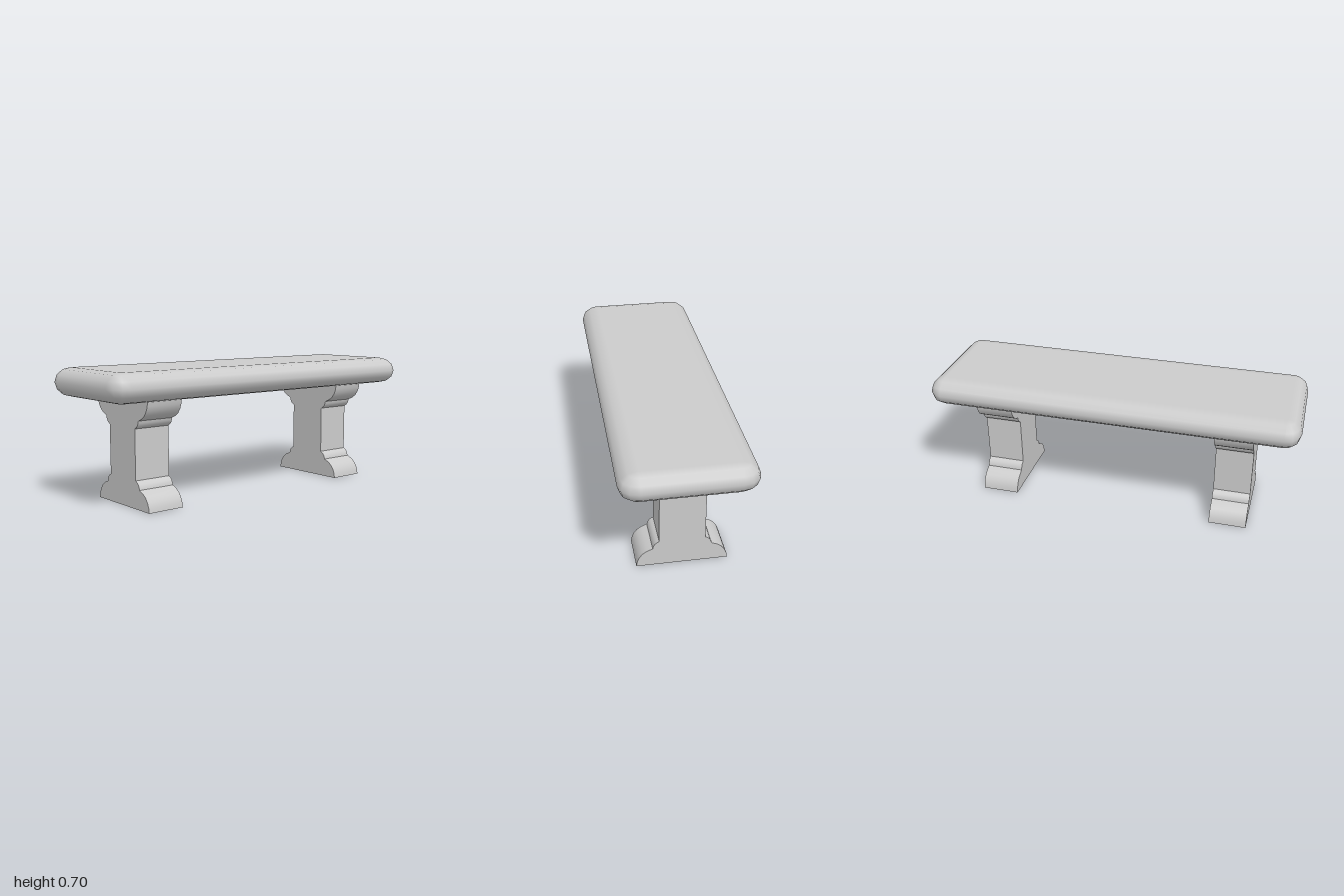
import * as THREE from 'three';
import { toCreasedNormals } from 'three/addons/utils/BufferGeometryUtils.js';

const material = new THREE.MeshStandardMaterial({ color: 0xcccccc });

// Slab with rounded rim: a sphere whose four quadrants are pulled apart to the corners
function slabGeometry(halfX, halfZ, rx, ry, rz) {
  const rows = 8, cols = 16;
  const geo = new THREE.SphereGeometry(1, cols, rows);
  const pos = geo.attributes.position, nor = geo.attributes.normal;
  const n = new THREE.Vector3();
  for (let row = 0; row <= rows; row++) {
    const pole = row === 0 || row === rows;
    const lat = THREE.MathUtils.clamp(4 - row, -3, 3) * Math.PI / 6;
    for (let col = 0; col <= cols; col++) {
      const i = row * (cols + 1) + col, c = col % cols;
      const quad = Math.floor(c / 4);
      const lon = (quad + (c % 4) / 3) * Math.PI / 2;
      const sx = quad === 0 || quad === 3 ? -1 : 1;
      const sz = quad < 2 ? 1 : -1;
      const ux = -Math.cos(lon) * Math.cos(lat);
      const uz = Math.sin(lon) * Math.cos(lat);
      const uy = Math.sin(lat);
      if (pole) pos.setXYZ(i, 0, uy * ry, 0);
      else pos.setXYZ(i, sx * (halfX - rx) + ux * rx, uy * ry, sz * (halfZ - rz) + uz * rz);
      n.set(ux / rx, uy / ry, uz / rz).normalize();
      nor.setXYZ(i, n.x, n.y, n.z);
    }
  }
  return geo;
}

// Leg outline: one foot quarter, mirrored up and across
function legGeometry(height, width) {
  const quarter = [
    [0.235, 0], [0.231, 0.025], [0.221, 0.05], [0.204, 0.073], [0.18, 0.09], [0.151, 0.102],
    [0.148, 0.115], [0.141, 0.128], [0.132, 0.137], [0.118, 0.145],
  ];
  const side = [...quarter, ...quarter.map(([z, y]) => [z, height - y]).reverse()];
  const outline = [...side, ...side.map(([z, y]) => [-z, y]).reverse()];
  const shape = new THREE.Shape(outline.map(([z, y]) => new THREE.Vector2(z, y)));
  const geo = new THREE.ExtrudeGeometry(shape, { depth: width, bevelEnabled: false });
  geo.translate(0, 0, -width / 2);
  geo.rotateY(-Math.PI / 2);
  return toCreasedNormals(geo, 0.6);
}

export function createModel() {
  const bench = new THREE.Group();
  bench.name = 'bench';

  // Seat
  const seat = new THREE.Mesh(slabGeometry(1, 0.333, 0.08, 0.075, 0.098), material);
  seat.name = 'seat';
  seat.position.y = 0.626;
  bench.add(seat);

  // Legs
  const leg = legGeometry(0.552, 0.203);
  for (const [name, x] of [['leftLeg', 0.652], ['rightLeg', -0.665]]) {
    const mesh = new THREE.Mesh(leg, material);
    mesh.name = name;
    mesh.position.set(x, 0, -0.005);
    bench.add(mesh);
  }
  return bench;
}
